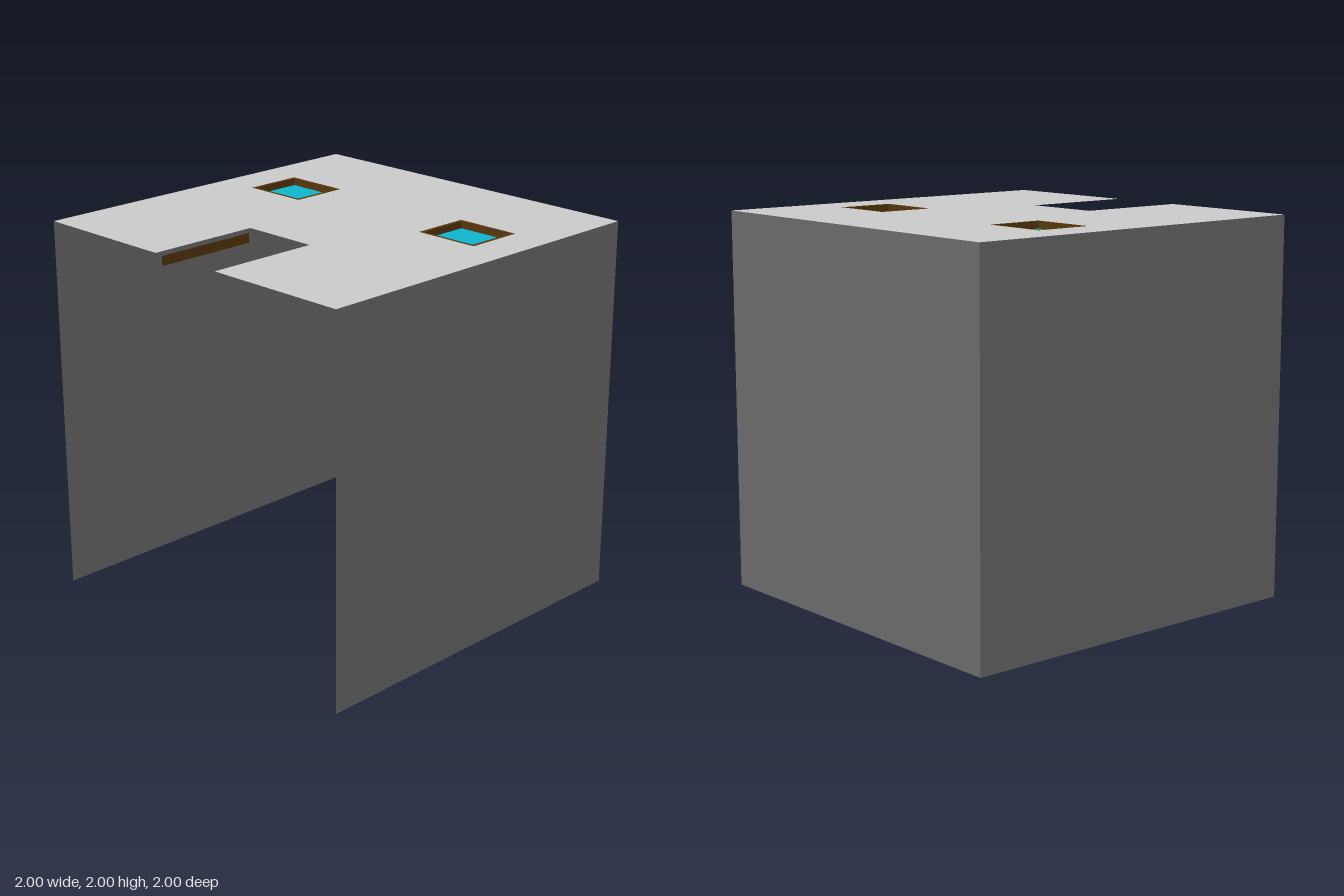
import * as THREE from 'three';

const wallGrey = new THREE.MeshStandardMaterial({ color: 0x6b6b6b, side: THREE.DoubleSide });
wallGrey.name = 'wall grey';
const roofGrey = new THREE.MeshStandardMaterial({ color: 0xcbcbcb, side: THREE.DoubleSide });
roofGrey.name = 'roof grey';
const brown = new THREE.MeshStandardMaterial({ color: 0x57360c, side: THREE.DoubleSide });
brown.name = 'trim brown';
const water = new THREE.MeshStandardMaterial({ color: 0x0eb5ce, side: THREE.DoubleSide });
water.name = 'water blue';

const TOP = 2;
const POOL_X = 0.605, POOL_Z = -0.305;       // pool centre
const RIM_W = 0.355, RIM_D = 0.31;           // outer size of the rim
const POOL_W = 0.315, POOL_D = 0.275;        // inner size of the basin
const DEPTH = 0.038;

function add(parent, name, geometry, material, x = 0, y = 0, z = 0) {
  const mesh = new THREE.Mesh(geometry, material);
  mesh.name = name;
  mesh.position.set(x, y, z);
  parent.add(mesh);
  return mesh;
}

// Closed outline in x and z; shape y is -z so it lies flat facing up
function outline(points, Type = THREE.Shape) {
  return new Type(points.map(([x, z]) => new THREE.Vector2(x, -z)));
}

function rect(cx, cz, w, d) {
  return [[cx - w / 2, cz - d / 2], [cx + w / 2, cz - d / 2], [cx + w / 2, cz + d / 2], [cx - w / 2, cz + d / 2]];
}

const flat = (shape) => new THREE.ShapeGeometry(shape).rotateX(-Math.PI / 2);

function makePool(side) {
  const pool = new THREE.Group();
  pool.name = side > 0 ? 'leftPool' : 'rightPool';
  pool.position.set(side * POOL_X, TOP, POOL_Z);

  // Flat rim set flush in the roof
  const rim = outline(rect(0, 0, RIM_W, RIM_D));
  rim.holes.push(outline(rect(0, 0, POOL_W, POOL_D), THREE.Path));
  add(pool, 'poolRim', flat(rim), brown);

  // Basin sides
  for (const s of [-1, 1]) {
    add(pool, 'poolSide', new THREE.PlaneGeometry(POOL_W, DEPTH), brown, 0, -DEPTH / 2, s * POOL_D / 2);
    add(pool, 'poolEnd', new THREE.PlaneGeometry(POOL_D, DEPTH).rotateY(Math.PI / 2), brown, s * POOL_W / 2, -DEPTH / 2, 0);
  }

  // Water covering the basin floor
  add(pool, 'water', flat(outline(rect(0, 0, POOL_W, POOL_D))), water, 0, -DEPTH + 0.002, 0);
  return pool;
}

export function createModel() {
  const model = new THREE.Group();
  model.name = 'openBoxWithPools';

  // Roof with a notch at the front and an opening for each pool
  const roof = outline([[-1, -1], [1, -1], [1, 1], [0.21, 1], [0.21, 0.39], [-0.21, 0.39], [-0.21, 1], [-1, 1]]);
  for (const s of [-1, 1]) {
    roof.holes.push(outline(rect(s * POOL_X, POOL_Z, RIM_W, RIM_D), THREE.Path));
    model.add(makePool(s));
  }
  add(model, 'roof', flat(roof), roofGrey, 0, TOP, 0);

  // Thin walls on the sides and back, open at the front
  add(model, 'backWall', new THREE.PlaneGeometry(2, TOP).rotateY(Math.PI), wallGrey, 0, TOP / 2, -1);
  for (const s of [-1, 1]) {
    const wall = new THREE.PlaneGeometry(2, TOP).rotateY(s * Math.PI / 2);
    add(model, s > 0 ? 'leftWall' : 'rightWall', wall, wallGrey, s, TOP / 2, 0);
  }

  // Trim board hanging beside the notch
  add(model, 'notchTrim', new THREE.PlaneGeometry(0.56, 0.05).rotateY(Math.PI / 2), brown, -0.175, 1.965, 0.71);
  return model;
}
